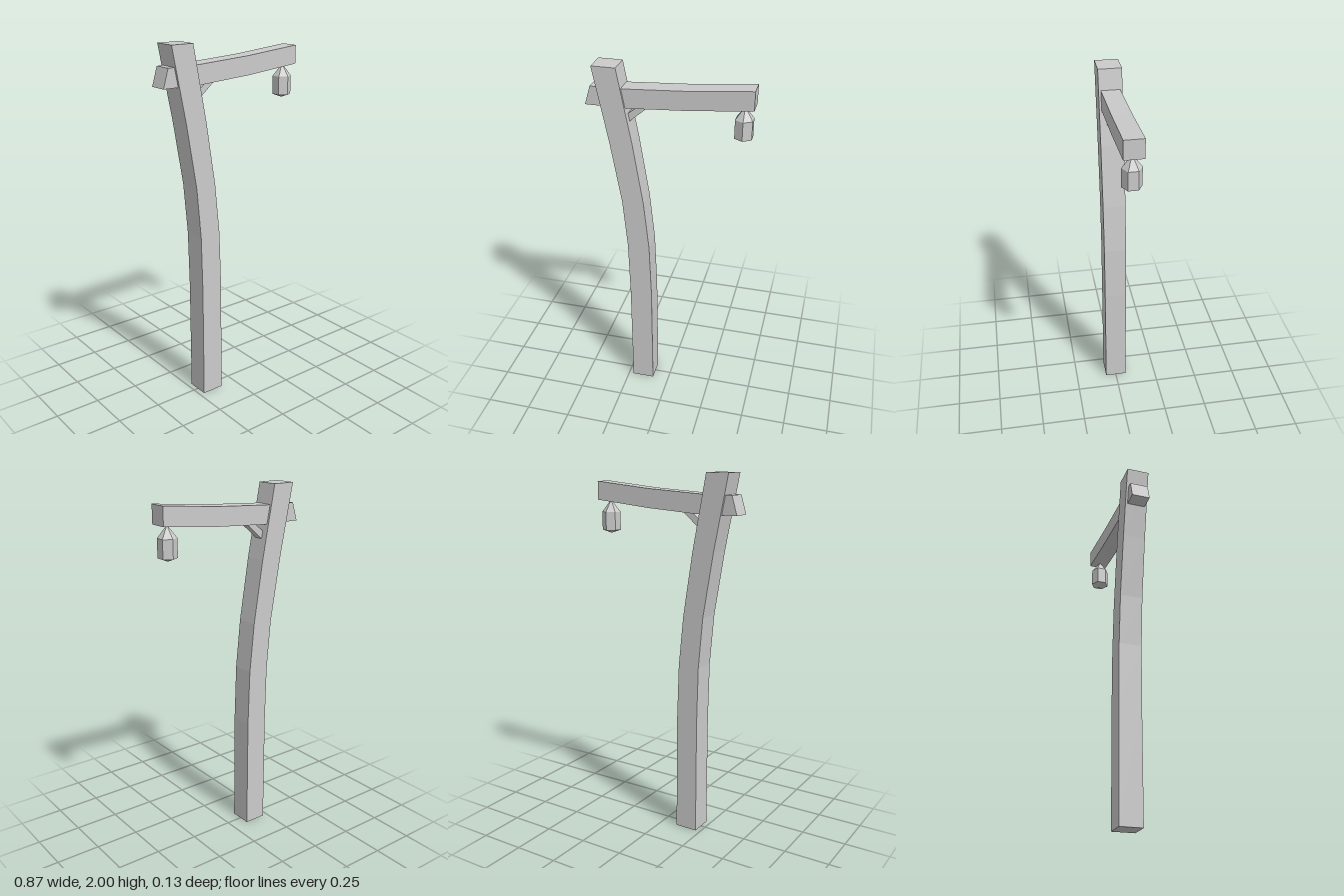
import * as THREE from 'three';

const material = new THREE.MeshStandardMaterial({ color: 0xcccccc, flatShading: true });

// Timber with the given side outline (x, y), centred on z = 0
function timber(name, outline, depth) {
  const shape = new THREE.Shape(outline.map(([x, y]) => new THREE.Vector2(x, y)));
  const geometry = new THREE.ExtrudeGeometry(shape, { depth, bevelEnabled: false });
  geometry.translate(0, 0, -depth / 2);
  const mesh = new THREE.Mesh(geometry, material);
  mesh.name = name;
  return mesh;
}

export function createModel() {
  const model = new THREE.Group();
  model.name = 'lampPost';

  // Bent square post: height, left edge, right edge
  const levels = [
    [0, -0.222, -0.095], [0.65, -0.222, -0.096], [0.97, -0.229, -0.106],
    [1.25, -0.253, -0.133], [1.6, -0.311, -0.187], [2, -0.39, -0.262],
  ];
  const rightEdge = levels.map(([y, , right]) => [right, y]);
  const leftEdge = levels.map(([y, left]) => [left, y]).reverse();
  model.add(timber('post', [...rightEdge, ...leftEdge], 0.126));

  // Slightly rising crossbeam with a slanted back end
  model.add(timber('crossbeam', [
    [-0.435, 1.79], [-0.2, 1.79], [0.1, 1.809], [0.432, 1.841],
    [0.432, 1.942], [0.1, 1.911], [-0.22, 1.892], [-0.405, 1.89],
  ], 0.102));

  // Short diagonal brace, its ends buried in post and beam
  model.add(timber('brace', [
    [-0.23, 1.692], [-0.205, 1.712], [-0.09, 1.81], [-0.14, 1.81], [-0.23, 1.74],
  ], 0.05));

  // Hanging six-sided lantern: pointed base, straight body, steep roof
  const profile = [[0, 1.657], [0.051, 1.675], [0.051, 1.775], [0, 1.841]]
    .map(([r, y]) => new THREE.Vector2(r, y));
  const lantern = new THREE.Mesh(new THREE.LatheGeometry(profile, 6), material);
  lantern.name = 'lantern';
  lantern.position.x = 0.38;
  model.add(lantern);

  return model;
}
